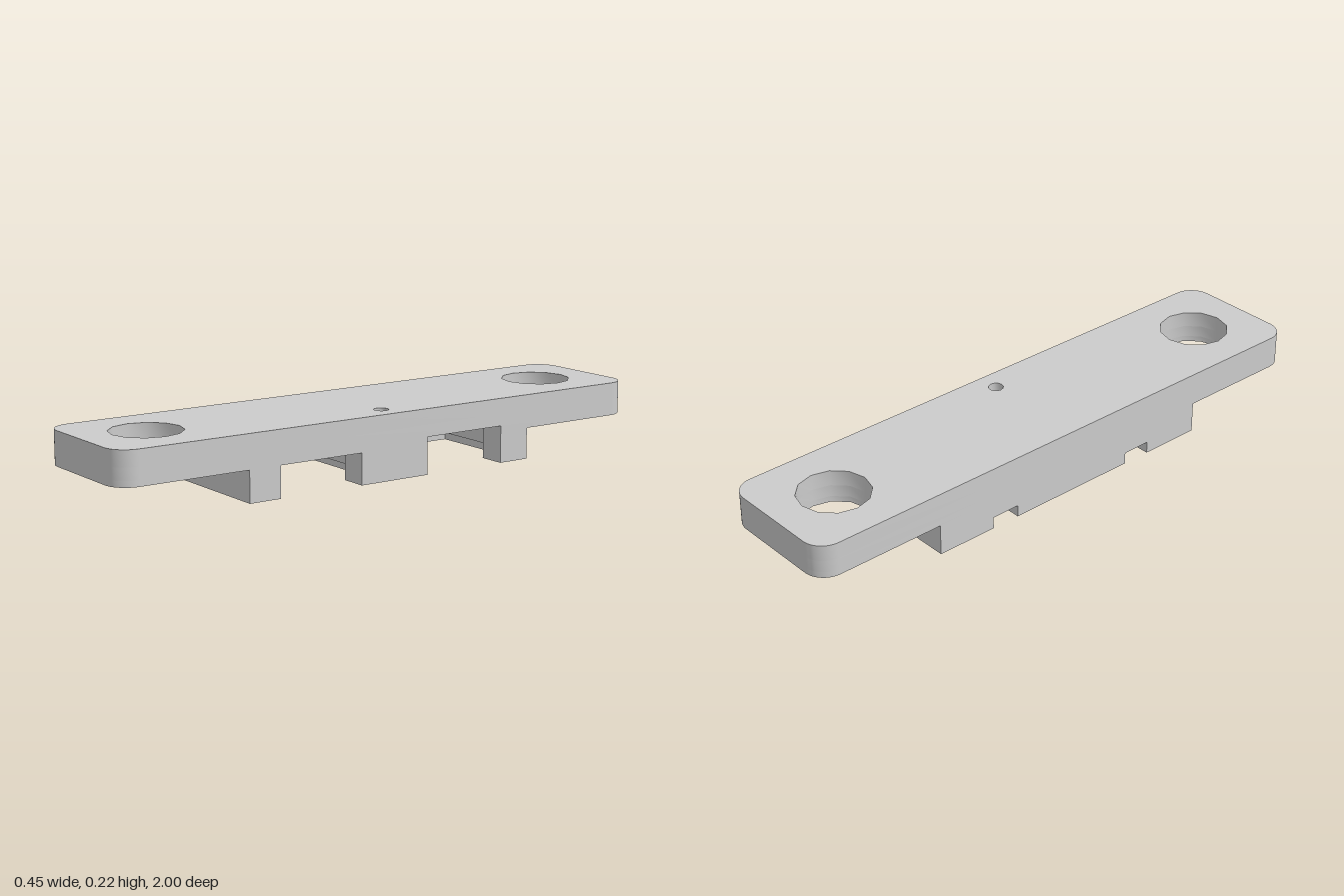
import * as THREE from 'three';
import { toCreasedNormals } from 'three/addons/utils/BufferGeometryUtils.js';

const W = 0.226;    // half width of bar and block
const B = 0.548;    // half length of the block
const LIP = 0.134;  // inner face of the side openings

const material = new THREE.MeshStandardMaterial({ color: 0xcccccc });

// Plan shapes are drawn in (x, -z) and raised from y0 to y1.
function layer(name, shape, y0, y1) {
  let geo = new THREE.ExtrudeGeometry(shape, { depth: y1 - y0, bevelEnabled: false, curveSegments: 6 });
  geo.rotateX(-Math.PI / 2);
  geo.translate(0, y0, 0);
  geo = toCreasedNormals(geo, 0.7);
  const mesh = new THREE.Mesh(geo, material);
  mesh.name = name;
  return mesh;
}

const polygon = (pts) => new THREE.Shape(pts.map(([x, y]) => new THREE.Vector2(x, y)));
const flip = (pts) => pts.map(([x, y]) => [x, -y]).reverse();

// Keyhole-shaped side notch, listed from the end towards the middle
const notch = [
  [W, 0.435], [LIP, 0.435], [LIP, 0.47], [-0.105, 0.47],
  [-0.105, 0.096], [LIP, 0.096], [LIP, 0.13], [W, 0.13],
];

function circle(x, y, r) {
  return new THREE.Path().absarc(x, y, r, 0, Math.PI * 2, true);
}

function addHoles(shape, withBolts) {
  shape.holes.push(circle(0.15, 0, 0.025));
  if (withBolts) for (const s of [-1, 1]) shape.holes.push(circle(0, s * 0.775, 0.118));
  return shape;
}

// Rounded bar outline, optionally with the side notches
function barShape(notched) {
  const r = 0.075, s = new THREE.Shape();
  s.moveTo(W, 1 - r);
  s.absarc(W - r, 1 - r, r, 0, Math.PI / 2, false);
  s.absarc(-W + r, 1 - r, r, Math.PI / 2, Math.PI, false);
  s.absarc(-W + r, -1 + r, r, Math.PI, Math.PI * 1.5, false);
  s.absarc(W - r, -1 + r, r, Math.PI * 1.5, Math.PI * 2, false);
  if (notched) for (const [x, y] of [...flip(notch), ...notch.slice().reverse()]) s.lineTo(x, y);
  s.closePath();
  return addHoles(s, true);
}

export function createModel() {
  const model = new THREE.Group();
  model.name = 'mountingBar';

  // Bar: solid top, socketed middle, notched underside
  const socketed = barShape(false);
  for (const s of [-1, 1]) {
    socketed.holes.push(new THREE.Path([
      [-0.077, s * 0.18], [0.06, s * 0.18], [0.06, s * 0.385], [-0.077, s * 0.385],
    ].map(([x, y]) => new THREE.Vector2(x, y))));
  }
  model.add(layer('barTop', barShape(false), 0.165, 0.218));
  model.add(layer('barSockets', socketed, 0.125, 0.165));
  model.add(layer('barUnderside', barShape(true), 0.105, 0.125));

  // Block under the bar with the deep pockets
  const block = polygon([[-W, B], [W, B], ...notch, ...flip(notch), [W, -B], [-W, -B]]);
  model.add(layer('pocketBlock', addHoles(block, false), 0.04, 0.105));

  // Bottom layer: wider shallow recesses with a small slot in the far side
  const half = [[W, 0.13], [LIP, 0.13], [LIP, 0.045], [-0.18, 0.045], [-0.18, 0.235], [-W, 0.235]];
  model.add(layer('middleFoot', addHoles(polygon([...half, ...flip(half)]), false), 0, 0.04));
  const end = [
    [-W, B], [W, B], [W, 0.435], [LIP, 0.435], [LIP, 0.52],
    [-0.18, 0.52], [-0.18, 0.335], [-W, 0.335],
  ];
  model.add(layer('backFoot', polygon(end), 0, 0.04));
  model.add(layer('frontFoot', polygon(flip(end)), 0, 0.04));

  return model;
}
